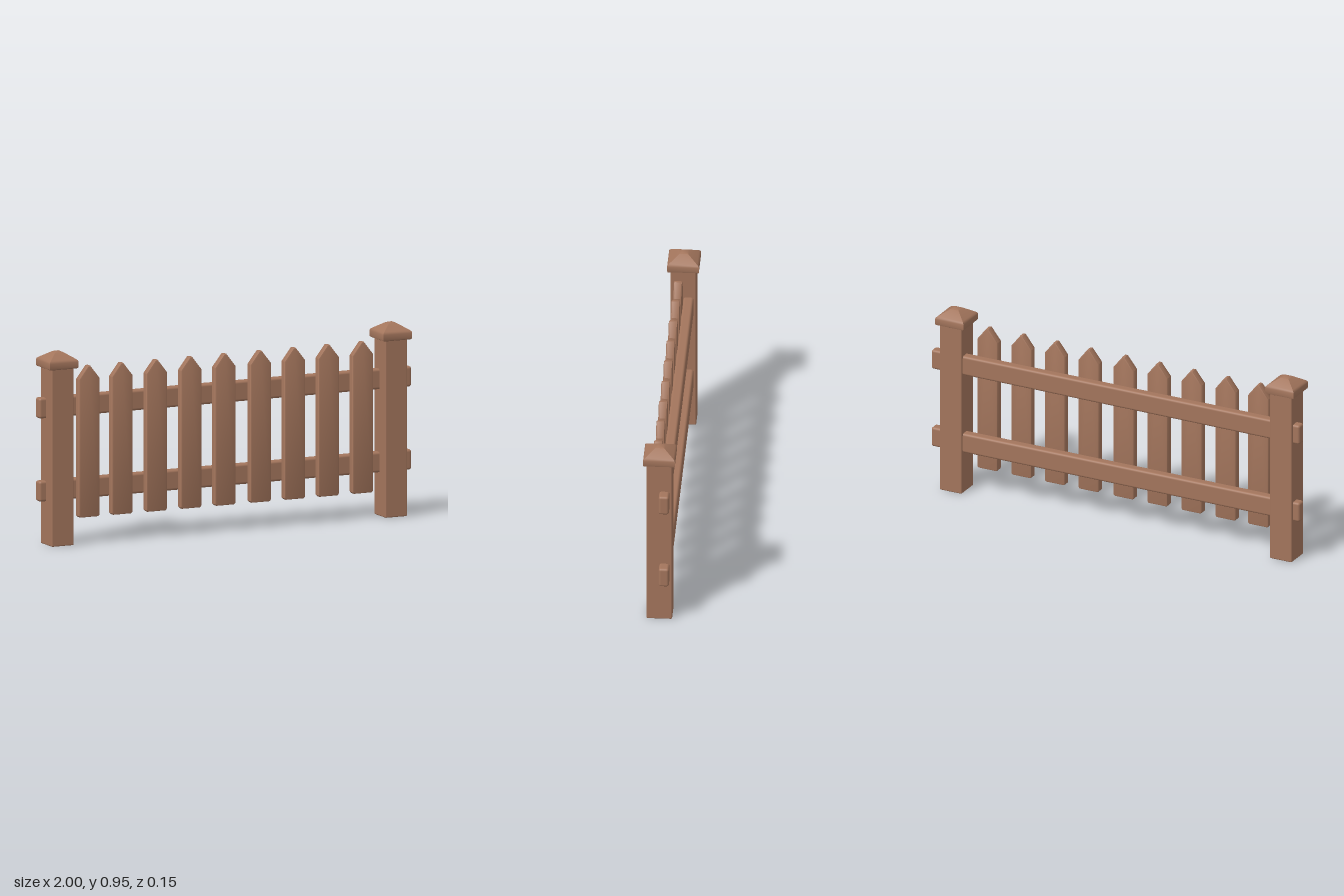
import * as THREE from 'three';
import { RoundedBoxGeometry } from 'three/addons/geometries/RoundedBoxGeometry.js';
import { toCreasedNormals } from 'three/addons/utils/BufferGeometryUtils.js';

const wood = new THREE.MeshStandardMaterial({ color: 0xa3755c });
wood.name = 'wood';

function add(parent, name, geometry, x, y, z) {
  const mesh = new THREE.Mesh(geometry, wood);
  mesh.name = name;
  mesh.position.set(x, y, z);
  parent.add(mesh);
}

// Pointed board with softened edges, its back resting on z = 0
function picketGeometry(width, bottom, shoulder, tip, depth) {
  const w = width / 2, r = 0.008;
  const shape = new THREE.Shape([
    [-w, bottom + 0.008], [-w + 0.008, bottom], [w - 0.008, bottom], [w, bottom + 0.008],
    [w, shoulder], [0.006, tip], [-0.006, tip], [-w, shoulder],
  ].map(([x, y]) => new THREE.Vector2(x, y)));
  const geometry = new THREE.ExtrudeGeometry(shape, {
    depth: depth - 2 * r, bevelThickness: r, bevelSize: r, bevelOffset: -r, bevelSegments: 2,
  });
  geometry.translate(0, 0, r);
  return toCreasedNormals(geometry, 0.7);
}

// Square cap: four-sided lathe with a rounded band and a low pyramid
function capGeometry() {
  const profile = [
    [0, 0.866], [0.069, 0.866], [0.075, 0.869], [0.077, 0.876], [0.077, 0.898],
    [0.075, 0.906], [0.068, 0.912], [0.022, 0.942], [0.011, 0.947], [0, 0.949],
  ].map(([r, y]) => new THREE.Vector2(r * Math.SQRT2, y));
  return toCreasedNormals(new THREE.LatheGeometry(profile, 4, Math.PI / 4), 0.7);
}

export function createModel() {
  const fence = new THREE.Group();
  fence.name = 'picketFence';

  // End posts with caps
  const postGeometry = new RoundedBoxGeometry(0.119, 0.88, 0.125, 2, 0.006);
  const cap = capGeometry();
  for (const [side, x] of [['right', -0.905], ['left', 0.887]]) {
    const post = new THREE.Group();
    post.name = side + 'Post';
    add(post, side + 'PostBody', postGeometry, 0, 0.44, 0);
    add(post, side + 'PostCap', cap, 0, 0, 0);
    post.position.x = x;
    fence.add(post);
  }

  // Horizontal rails running through the posts
  const railGeometry = new RoundedBoxGeometry(2, 0.1, 0.05, 3, 0.012);
  add(fence, 'lowerRail', railGeometry, 0, 0.263, -0.025);
  add(fence, 'upperRail', railGeometry, 0, 0.67, -0.025);

  // Pickets on the front of the rails
  const picket = picketGeometry(0.112, 0.126, 0.803, 0.867, 0.042);
  [-0.75, -0.573, -0.388, -0.203, -0.019, 0.171, 0.354, 0.536, 0.72].forEach((x, i) => {
    add(fence, 'picket' + (i + 1), picket, x, 0, -0.002);
  });

  return fence;
}
